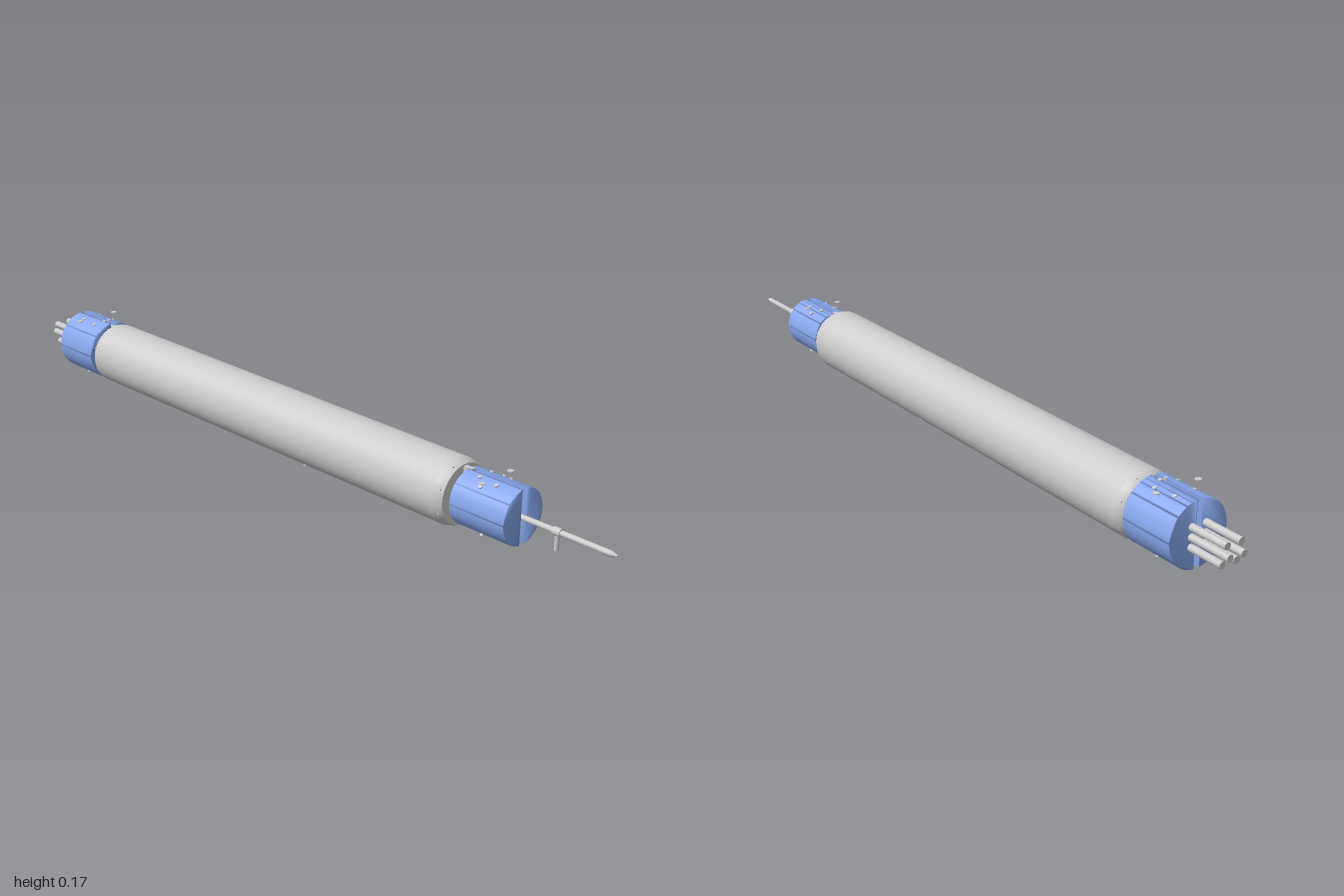
import * as THREE from 'three';
import { mergeVertices } from 'three/addons/utils/BufferGeometryUtils.js';

const AXIS_Y = 0.085;
const grey = new THREE.MeshStandardMaterial({ color: 0xcccccc });
const blue = new THREE.MeshStandardMaterial({ color: 0x8aa8ee });

export function createModel() {
  const model = new THREE.Group();

  const add = (name, geometry, material = grey) => {
    const mesh = new THREE.Mesh(geometry, material);
    mesh.name = name;
    model.add(mesh);
    return mesh;
  };

  // Round rod running along z
  const rod = (name, r, x, y, z0, z1, rEnd = r) => {
    const geo = new THREE.CylinderGeometry(rEnd, r, z1 - z0, 16).rotateX(Math.PI / 2);
    add(name, geo).position.set(x, y, (z0 + z1) / 2);
  };

  // Disc whose axis points radially out of the body; angle is from straight up
  const bolt = (name, angle, radius, z, r = 0.005, h = 0.006) => {
    const m = add(name, new THREE.CylinderGeometry(r, r, h, 10));
    m.position.set(Math.sin(angle) * radius, AXIS_Y + Math.cos(angle) * radius, z);
    m.rotation.z = -angle;
  };

  // Main casing: long closed tube with softly stepped ends
  const profile = [
    [0, -0.732], [0.074, -0.732], [0.074, -0.732], [0.081, -0.722], [0.083, -0.71], [0.083, -0.71],
    [0.083, 0.555], [0.083, 0.555], [0.081, 0.568], [0.075, 0.58], [0.075, 0.58], [0, 0.58],
  ].map(([r, z]) => new THREE.Vector2(r, z));
  const casing = add('casing', new THREE.LatheGeometry(profile, 64).rotateX(Math.PI / 2));
  casing.position.y = AXIS_Y;

  // Solid half-round end block, split by a gap at x = 0
  const halfBlock = (name, side, r, z0, z1) => {
    const gap = 0.007;
    const a = Math.acos(gap / r);
    const shape = new THREE.Shape();
    const turn = side > 0 ? 0 : Math.PI;
    shape.absarc(0, 0, r, turn - a, turn + a, false);
    shape.closePath();
    let geo = new THREE.ExtrudeGeometry(shape, { depth: z1 - z0, bevelEnabled: false, curveSegments: 32 });
    // Shared normals give the blocks their soft shading
    geo.deleteAttribute('normal');
    geo.deleteAttribute('uv');
    geo = mergeVertices(geo, 1e-5);
    geo.computeVertexNormals();
    add(name, geo, blue).position.set(0, AXIS_Y + (r < 0.075 ? 0.002 : 0.001), z0);
  };

  for (const side of [-1, 1]) {
    halfBlock('frontBlock', side, 0.069, 0.595, 0.75);
    halfBlock('rearBlock', side, 0.082, -0.885, -0.74);

    // Fasteners on the upper and lower faces of the blocks
    for (const [angle, z] of [[0.3, 0.64], [0.38, 0.692], [0.62, 0.66]]) {
      bolt('frontBolt', side * angle, 0.071, z);
    }
    for (const [angle, z] of [[0.36, -0.838], [0.42, -0.782], [0.1, -0.77]]) {
      bolt('rearBolt', side * angle, 0.082, z);
    }
    bolt('frontLowerBolt', side * (Math.PI - 0.6), 0.07, 0.67);
    bolt('rearLowerBolt', side * (Math.PI - 0.5), 0.082, -0.81);
    bolt('casingLowerBolt', side * (Math.PI - 0.5), 0.083, 0.1, 0.005, 0.004);

    // Flat washers standing clear of the blocks
    const washer = (x, y, z) =>
      add('washer', new THREE.CylinderGeometry(0.008, 0.008, 0.002, 12)).position.set(side * x, y, z);
    washer(0.05, 0.157, 0.67);
    washer(0.06, 0.169, -0.815);

    // Two columns of three rear cables
    [0.108, 0.084, 0.06].forEach((y, i) =>
      rod('rearCable', 0.009, side * 0.02, y, -1 + [0.01, 0, 0.02][i], -0.86));
  }

  // Small screws around both casing shoulders
  for (let i = 0; i < 8; i++) {
    const angle = (i + 0.5) * Math.PI / 4;
    bolt('frontShoulderScrew', angle, 0.078, 0.57, 0.003, 0.008);
    bolt('rearShoulderScrew', angle, 0.079, -0.722, 0.003, 0.005);
  }

  // Front cable through the gap, its pointed tip and hanging peg
  rod('frontCable', 0.007, 0, 0.086, 0.575, 0.985);
  rod('cableTip', 0.007, 0, 0.086, 0.985, 1, 0.002);
  rod('cableCollar', 0.01, 0, 0.086, 0.835, 0.855);
  const peg = add('peg', new THREE.CylinderGeometry(0.006, 0.006, 0.045, 14));
  peg.position.set(0, 0.064, 0.845);

  // Thin core between the rear halves
  rod('rearCore', 0.004, 0, 0.086, -0.885, -0.73);

  // Linking lugs between casing and end blocks
  const lug = (y, z, depth) =>
    add('lug', new THREE.BoxGeometry(0.012, 0.008, depth)).position.set(0, y, z);
  lug(0.152, 0.59, 0.03);
  lug(0.142, 0.59, 0.03);
  lug(0.155, -0.738, 0.03);

  return model;
}
